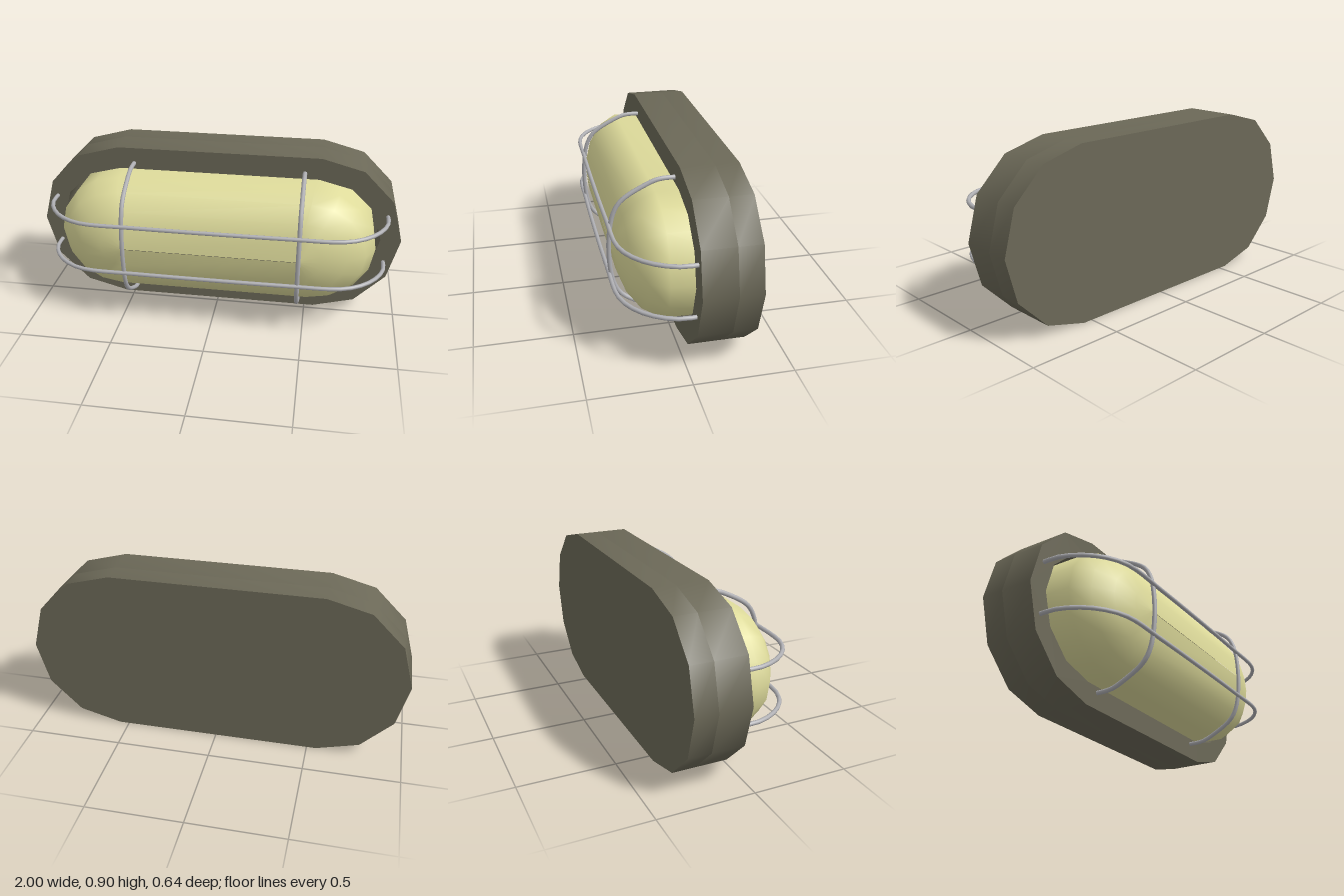
import * as THREE from 'three';
import { toCreasedNormals } from 'three/addons/utils/BufferGeometryUtils.js';

const MID = 0.452; // height of the lamp's centre line

// Outline of a long oval: straight half-length sx, end radii rx and ry, counter-clockwise
function oval(sx, rx, ry, segs) {
  const pts = [];
  for (const side of [1, -1]) {
    for (let i = 0; i <= segs; i++) {
      const a = -Math.PI / 2 + (Math.PI * i) / segs;
      pts.push(new THREE.Vector2(side * (sx + rx * Math.cos(a)), side * ry * Math.sin(a)));
    }
  }
  return pts;
}

function extrude(shape, z0, z1) {
  const geo = new THREE.ExtrudeGeometry(shape, { depth: z1 - z0, bevelEnabled: false });
  geo.translate(0, MID, z0);
  return toCreasedNormals(geo, 0.7);
}

// Domed cover lofted through oval rings
function coverGeometry() {
  // z, straight half-length, end radius in x, end radius in y
  const rings = [
    [-0.22, 0.52, 0.34, 0.324], [0.08, 0.52, 0.34, 0.324], [0.17, 0.51, 0.3, 0.275],
    [0.235, 0.49, 0.22, 0.195], [0.27, 0.47, 0.12, 0.105], [0.285, 0.46, 0.001, 0.001],
  ];
  const pos = [], index = [];
  let n = 0;
  for (const [z, sx, rx, ry] of rings) {
    const pts = oval(sx, rx, ry, 8);
    n = pts.length;
    for (const p of pts) pos.push(p.x, p.y + MID, z);
  }
  for (let r = 0; r < rings.length - 1; r++) {
    for (let i = 0; i < n; i++) {
      const a = r * n + i, b = r * n + ((i + 1) % n);
      index.push(a, b, b + n, a, b + n, a + n);
    }
  }
  const geo = new THREE.BufferGeometry();
  geo.setAttribute('position', new THREE.Float32BufferAttribute(pos, 3));
  geo.setIndex(index);
  geo.computeVertexNormals();
  return geo;
}

// Wire hoop: half a profile of [across, z], mirrored and swept as a tube
function hoopGeometry(half, toPoint, radius) {
  const all = [...half, ...half.slice().reverse().map(([u, z]) => [-u, z])];
  const path = new THREE.CurvePath();
  for (let i = 1; i < all.length; i++) {
    path.add(new THREE.LineCurve3(toPoint(...all[i - 1]), toPoint(...all[i])));
  }
  const curve = new THREE.CatmullRomCurve3(all.map((p) => toPoint(...p)), false, 'centripetal');
  return new THREE.TubeGeometry(curve, 40, radius, 8);
}

export function createModel() {
  const housingMat = new THREE.MeshStandardMaterial({ name: 'olive grey housing', color: 0x6b6857 });
  const glassMat = new THREE.MeshStandardMaterial({ name: 'pale yellow glass', color: 0xdedb9b });
  const wireMat = new THREE.MeshStandardMaterial({ name: 'grey wire', color: 0xb0b0b4 });

  const group = new THREE.Group();
  group.name = 'bulkheadLamp';
  const add = (name, geo, mat) => {
    const mesh = new THREE.Mesh(geo, mat);
    mesh.name = name;
    group.add(mesh);
  };

  // Housing: rim with an oval opening, closed by a back plate
  const outer = oval(0.55, 0.45, MID, 6);
  const rim = new THREE.Shape(outer);
  rim.holes.push(new THREE.Path(oval(0.54, 0.35, 0.333, 6).reverse()));
  add('housingRim', extrude(rim, -0.2, -0.03), housingMat);
  add('housingBack', extrude(new THREE.Shape(outer), -0.32, -0.2), housingMat);

  // Glass cover
  add('glassCover', coverGeometry(), glassMat);

  // Guard: two long wires and two cross wires
  const longHalf = [[0.915, -0.06], [0.915, 0.05], [0.875, 0.15], [0.8, 0.235], [0.69, 0.29], [0.4, 0.302]];
  const crossHalf = [[0.365, -0.06], [0.362, 0.05], [0.34, 0.11], [0.265, 0.235], [0.2, 0.275], [0.08, 0.297]];
  for (const s of [1, -1]) {
    add(s > 0 ? 'upperLongWire' : 'lowerLongWire',
      hoopGeometry(longHalf, (u, z) => new THREE.Vector3(u, MID + 0.004 + s * 0.138, z), 0.011), wireMat);
    add(s > 0 ? 'leftCrossWire' : 'rightCrossWire',
      hoopGeometry(crossHalf, (u, z) => new THREE.Vector3(s * 0.463, MID + u, z), 0.012), wireMat);
  }
  return group;
}
